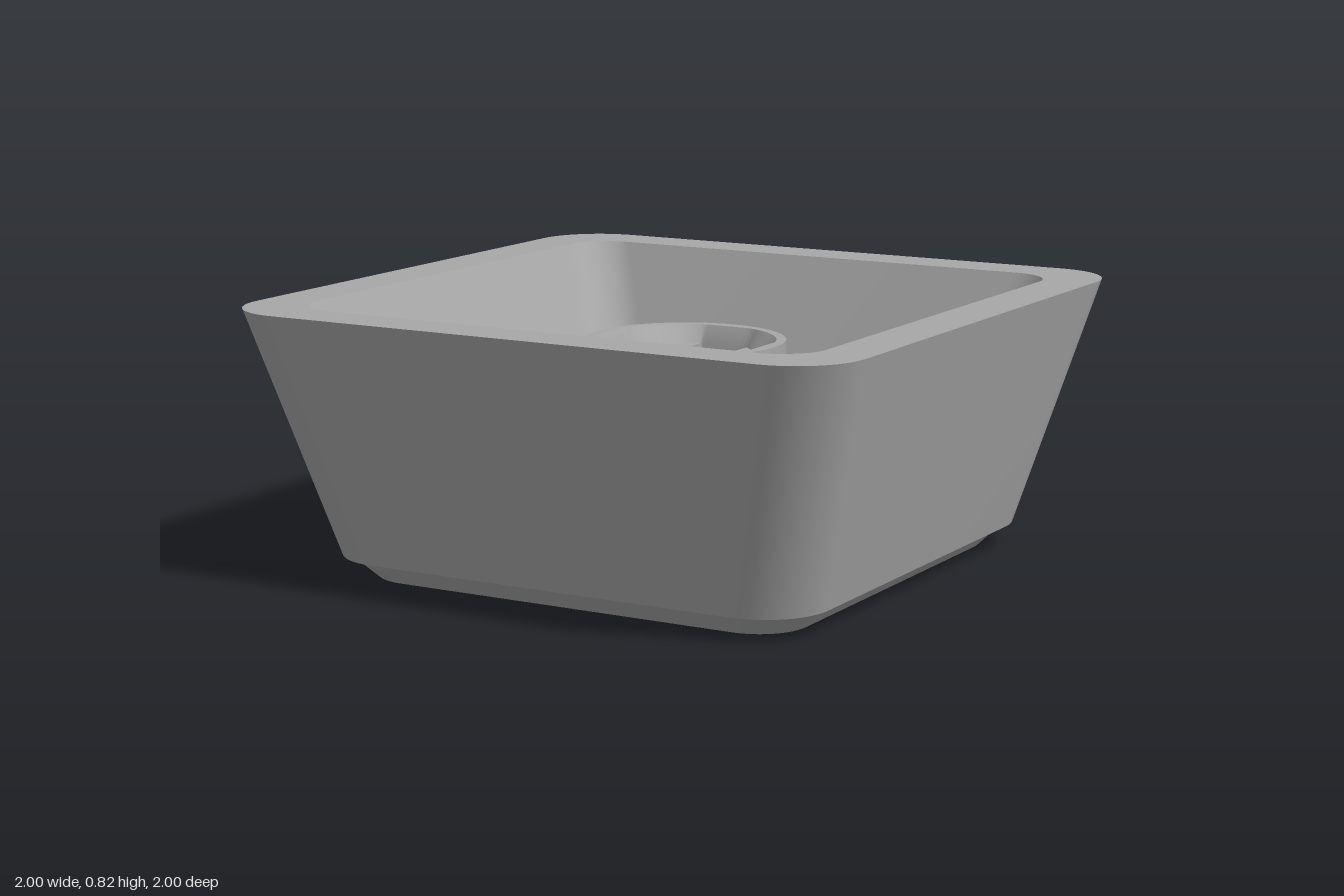
import * as THREE from 'three';
import { toCreasedNormals } from 'three/addons/utils/BufferGeometryUtils.js';

// Skin a series of equal-count rings; each ring is { y, pts: [[x, z], ...] }.
function loft(rings) {
  const n = rings[0].pts.length, pos = [], index = [];
  for (const { y, pts } of rings) for (const [x, z] of pts) pos.push(x, y, z);
  for (let r = 0; r < rings.length - 1; r++) {
    for (let i = 0; i < n; i++) {
      const a = r * n + i, b = r * n + (i + 1) % n, c = a + n, d = b + n;
      index.push(a, c, b, b, c, d);
    }
  }
  const g = new THREE.BufferGeometry();
  g.setAttribute('position', new THREE.Float32BufferAttribute(pos, 3));
  g.setIndex(index);
  return toCreasedNormals(g, 0.5);
}

// Rounded square outline with given half width and corner radius.
function roundedSquare(half, radius, y) {
  const pts = [], steps = 12, k = half - radius;
  for (let q = 0; q < 4; q++) {
    const mid = (q + 0.5) * Math.PI / 2;
    const cx = Math.sign(Math.cos(mid)) * k, cz = Math.sign(Math.sin(mid)) * k;
    for (let i = 0; i <= steps; i++) {
      const a = (q + i / steps) * Math.PI / 2;
      pts.push([cx + radius * Math.cos(a), cz + radius * Math.sin(a)]);
    }
  }
  return { y, pts };
}

// Octagon and cross outlines sharing the same point count.
function socketOutlines(arm, w) {
  const octagon = [], cross = [], steps = 12;
  const mix = (a, b, t) => [a[0] + (b[0] - a[0]) * t, a[1] + (b[1] - a[1]) * t];
  for (let q = 0; q < 4; q++) {
    const c = Math.round(Math.cos(q * Math.PI / 2)), s = Math.round(Math.sin(q * Math.PI / 2));
    const turn = ([x, z]) => [x * c - z * s, x * s + z * c];
    const p0 = [arm, -w], p1 = [arm, w], p2 = [w, arm], corner = [w, w];
    for (let i = 0; i < steps; i++) {
      const p = turn(mix(p0, p1, i / steps));
      octagon.push(p);
      cross.push(p);
    }
    for (let i = 0; i < steps; i++) {
      const t = i / steps;
      octagon.push(turn(mix(p1, p2, t)));
      cross.push(turn(t < 0.5 ? mix(p1, corner, t * 2) : mix(corner, p2, t * 2 - 1)));
    }
  }
  return { octagon, cross };
}

export function createModel() {
  const group = new THREE.Group();
  const plastic = new THREE.MeshStandardMaterial({ color: 0xa8a8a8 });
  plastic.name = 'grey plastic';
  const add = (name, geometry) => {
    const mesh = new THREE.Mesh(geometry, plastic);
    mesh.name = name;
    group.add(mesh);
    return mesh;
  };
  const floorY = 0.24, rimY = 0.82, stemY = 0.675;

  // Hollow flared shell: underside, bevel, small step, outer wall, rim, inner wall, floor
  add('shell', loft([
    [0, 0, 0], [0.71, 0.15, 0], [0.775, 0.18, 0.068], [0.8, 0.2, 0.068],
    [1, 0.21, rimY], [0.845, 0.14, rimY], [0.59, 0.13, floorY], [0, 0, floorY],
  ].map((p) => roundedSquare(...p))));

  // Round stem with a lead-in taper and a cross-shaped socket
  const { octagon, cross } = socketOutlines(0.24, 0.08);
  const circle = (r, limit = r) => octagon.map(([x, z]) => {
    const k = r / Math.hypot(x, z);
    return [x, z].map((v) => THREE.MathUtils.clamp(v * k, -limit, limit));
  });
  add('stem', loft([
    { y: floorY, pts: circle(0.305) },
    { y: stemY, pts: circle(0.305) },
    { y: stemY, pts: circle(0.275, 0.265) },
    { y: stemY - 0.055, pts: octagon },
    { y: stemY - 0.055, pts: cross },
    { y: floorY, pts: cross },
  ]));

  // Four low ribs from the stem to the walls
  for (let i = 0; i < 4; i++) {
    const g = new THREE.BoxGeometry(0.31, 0.045, 0.11);
    g.translate(0.445, floorY + 0.0105, 0);
    add('rib', g).rotation.y = i * Math.PI / 2;
  }
  return group;
}
